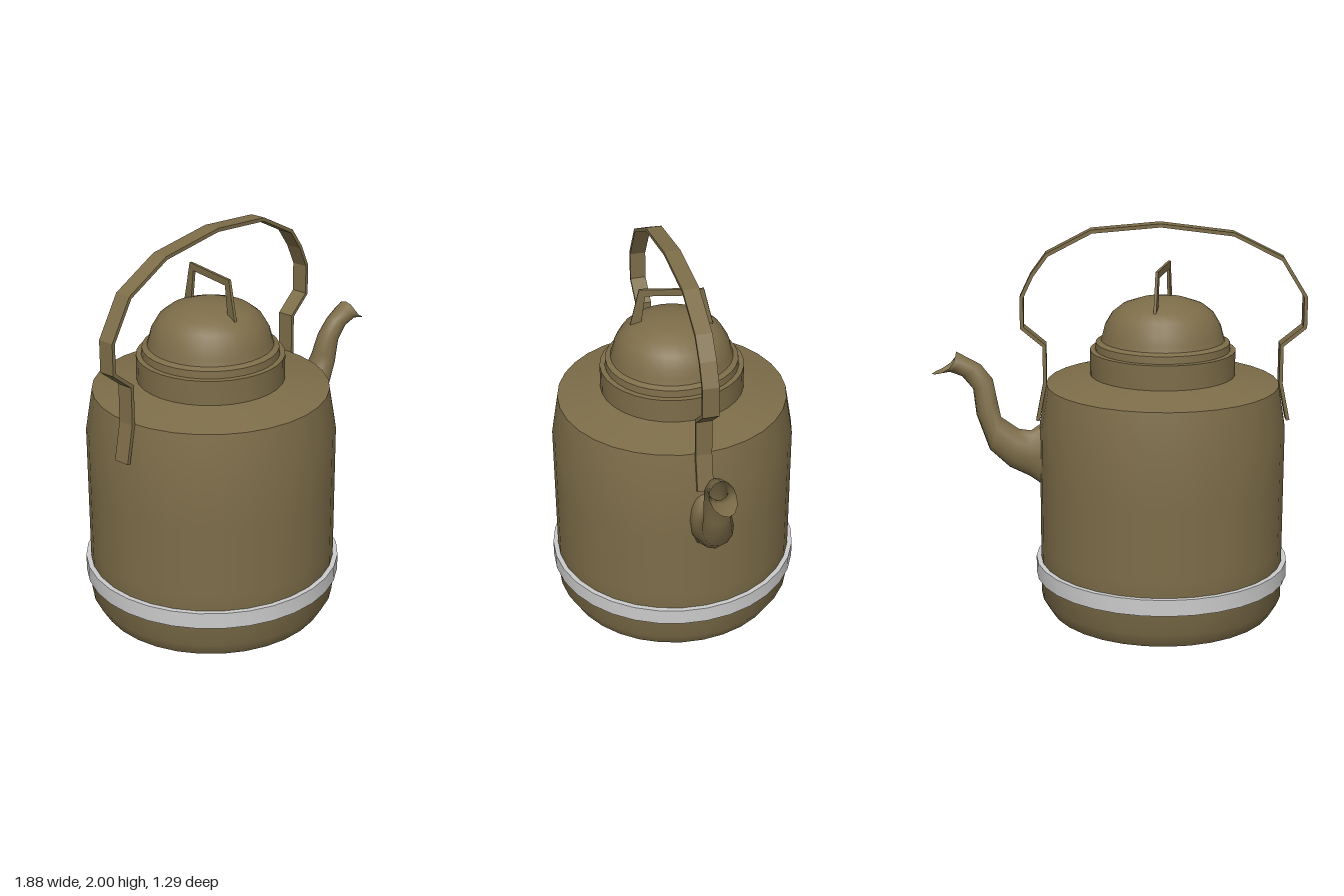
import * as THREE from 'three';
import { toCreasedNormals } from 'three/addons/utils/BufferGeometryUtils.js';

const CX = -0.225; // axis of the pot

const brown = new THREE.MeshStandardMaterial({ color: 0x7d6d49, side: THREE.DoubleSide });
const grey = new THREE.MeshStandardMaterial({ color: 0xcccccc });

const v2 = ([x, y]) => new THREE.Vector2(x, y);

function mesh(name, geometry, material = brown) {
  const m = new THREE.Mesh(geometry, material);
  m.name = name;
  return m;
}

// Turned part around the pot axis
function turned(name, profile, material) {
  const geo = new THREE.LatheGeometry(profile.map(v2), 32);
  const m = mesh(name, toCreasedNormals(geo, 0.75), material);
  m.position.x = CX;
  return m;
}

// Flat outline of constant thickness along an open path
function stripShape(path, thickness) {
  const pts = path.map(v2);
  const sides = [[], []];
  pts.forEach((p, i) => {
    const a = p.clone().sub(pts[Math.max(i - 1, 0)]).normalize();
    const b = pts[Math.min(i + 1, pts.length - 1)].clone().sub(p).normalize();
    const t = a.clone().add(b).normalize();
    const ref = a.lengthSq() ? a : b;
    const n = new THREE.Vector2(-t.y, t.x).multiplyScalar(thickness / 2 / t.dot(ref));
    sides[0].push(p.clone().add(n));
    sides[1].push(p.clone().sub(n));
  });
  return new THREE.Shape([...sides[0], ...sides[1].reverse()]);
}

function slab(shape, depth) {
  const geo = new THREE.ExtrudeGeometry(shape, { depth, bevelEnabled: false });
  return geo.translate(0, 0, -depth / 2);
}

// Spout: oval loops, each given by its lower and upper point, z centre and half width
function spoutGeometry() {
  const loops = [
    [0.34, 0.62, 0.34, 1.01, 0.01, 0.075],
    [0.45, 0.70, 0.44, 0.94, 0.01, 0.075],
    [0.55, 0.75, 0.50, 0.95, 0.005, 0.08],
    [0.65, 0.84, 0.59, 1.01, 0.015, 0.08],
    [0.715, 1.02, 0.61, 1.10, 0.035, 0.066],
    [0.73, 1.15, 0.63, 1.20, 0.05, 0.056],
    [0.785, 1.215, 0.69, 1.275, 0.058, 0.052],
    [0.85, 1.238, 0.76, 1.312, 0.063, 0.058],
    [0.937, 1.226, 0.812, 1.34, 0.065, 0.066],
  ];
  const N = 12, pos = [], index = [];
  loops.forEach(([lx, ly, ux, uy, z, w], i) => {
    const bow = i === loops.length - 1 ? 0.03 : 0; // the rim dips at its sides
    for (let j = 0; j < N; j++) {
      const a = (j / N) * Math.PI * 2, k = (1 - Math.cos(a)) / 2, s = Math.sin(a);
      pos.push(lx + (ux - lx) * k - bow * s * s, ly + (uy - ly) * k - bow * 0.5 * s * s, z + w * s);
      if (i) {
        const a0 = (i - 1) * N + j, a1 = (i - 1) * N + (j + 1) % N;
        index.push(a0, a0 + N, a1, a1, a0 + N, a1 + N);
      }
    }
  });
  const geo = new THREE.BufferGeometry();
  geo.setAttribute('position', new THREE.Float32BufferAttribute(pos, 3));
  // loops run lower > +z > upper, so flip to face outward
  for (let i = 0; i < index.length; i += 3) [index[i + 1], index[i + 2]] = [index[i + 2], index[i + 1]];
  geo.setIndex(index);
  geo.computeVertexNormals();
  return geo;
}

export function createModel() {
  const kettle = new THREE.Group();
  kettle.name = 'kettle';

  // Pot with bevelled foot and sloping shoulder
  kettle.add(turned('body', [
    [0, 0], [0.575, 0], [0.62, 0.075], [0.62, 0.35], [0.62, 0.7], [0.62, 0.98],
    [0.585, 1.19], [0.365, 1.238], [0.3, 1.25],
  ]));
  kettle.add(turned('neck', [[0.365, 1.22], [0.365, 1.362], [0.3, 1.366]]));

  // Stepped domed lid
  kettle.add(turned('lid', [
    [0.34, 1.355], [0.336, 1.4], [0.31, 1.412], [0.301, 1.44], [0.29, 1.485],
    [0.255, 1.545], [0.205, 1.585], [0.12, 1.615], [0.05, 1.626], [0, 1.628],
  ]));

  // Raised ring round the foot
  kettle.add(turned('baseRing', [
    [0.61, 0.187], [0.645, 0.187], [0.645, 0.27], [0.61, 0.27],
  ], grey));

  // Lid grip: thin frame standing across the dome
  const grip = new THREE.Shape([
    [-0.21, 1.57], [-0.16, 1.78], [0.16, 1.78], [0.21, 1.57],
    [0.15, 1.6], [0.13, 1.745], [-0.13, 1.745], [-0.15, 1.6],
  ].map(v2));
  const gripMesh = mesh('lidGrip', slab(grip, 0.014));
  gripMesh.position.x = CX;
  gripMesh.rotation.y = Math.atan2(0.39, 0.1);
  kettle.add(gripMesh);

  // Carrying handle: bent flat bar
  const bar = stripShape([
    [-0.857, 1.0], [-0.818, 1.19], [-0.818, 1.385], [-0.932, 1.478], [-0.932, 1.63],
    [-0.815, 1.82], [-0.57, 1.943], [-0.21, 1.988], [0.13, 1.958], [0.35, 1.843],
    [0.425, 1.74], [0.477, 1.63], [0.477, 1.478], [0.366, 1.385], [0.366, 1.19], [0.403, 1.0],
  ].map(([x, y]) => [x - CX, y]), 0.018);
  const handle = mesh('handle', slab(bar, 0.082));
  handle.position.x = CX;
  handle.rotation.y = -0.02;
  kettle.add(handle);

  kettle.add(mesh('spout', spoutGeometry()));
  return kettle;
}
